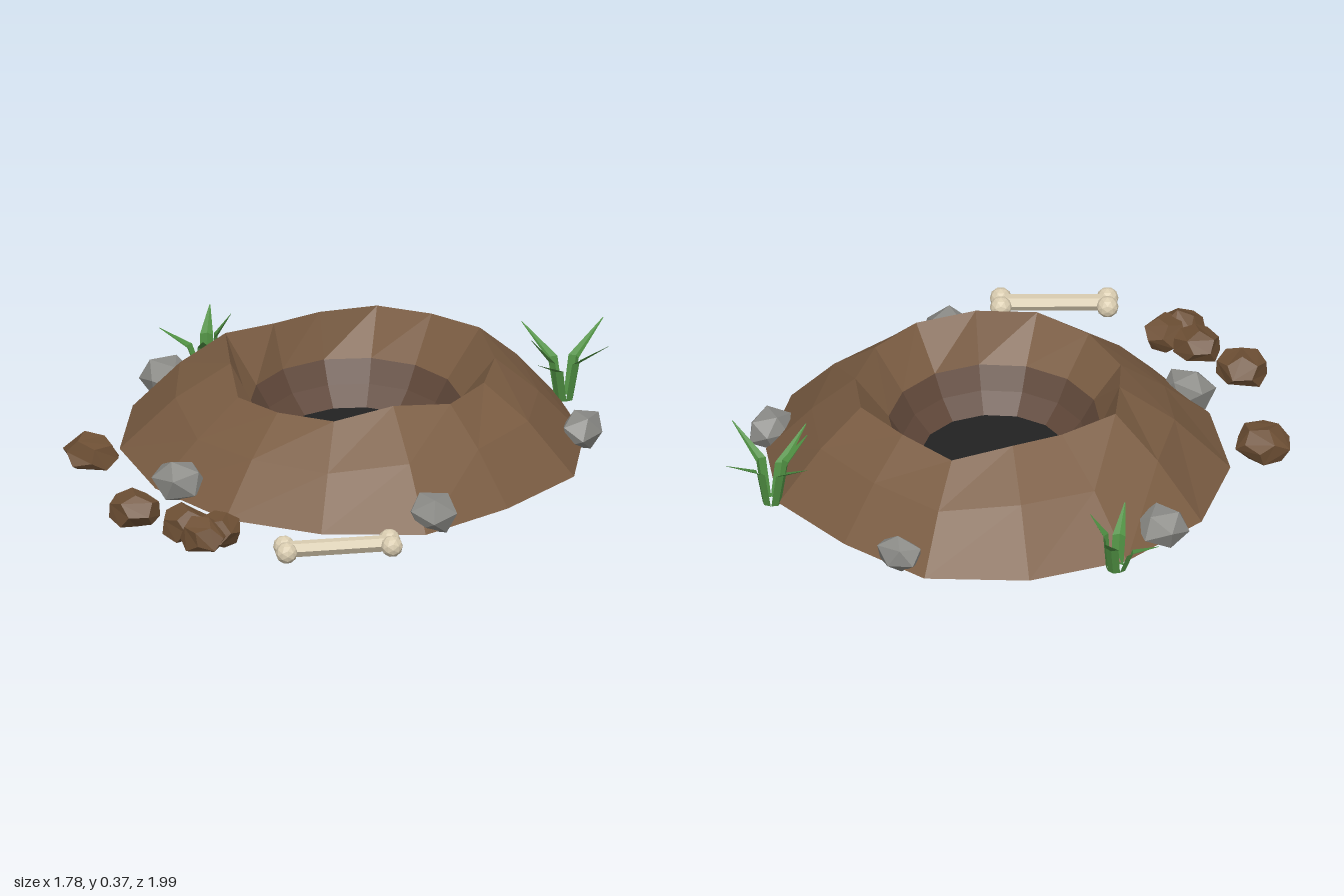
import * as THREE from 'three';

const CX = 0.035, CZ = -0.14, SIDES = 14;
const mat = (name, color, side = THREE.FrontSide) => {
  const m = new THREE.MeshStandardMaterial({ color, flatShading: true, side });
  m.name = name;
  return m;
};

// Small repeatable noise in -1..1
const noise = (a, b, c, s) => {
  const n = Math.sin(a * 127.1 + b * 311.7 + c * 74.7 + s * 53.3) * 43758.5453;
  return (n - Math.floor(n)) * 2 - 1;
};

// Surface through a list of rings; each ring is { r, y }, numbers or one value per side
function loft(rings) {
  const at = (v, k) => (Array.isArray(v) ? v[k % SIDES] : v);
  const pos = [], idx = [];
  rings.forEach(({ r, y }) => {
    for (let k = 0; k < SIDES; k++) {
      const a = (k / SIDES) * Math.PI * 2;
      pos.push(CX + Math.cos(a) * at(r, k), at(y, k), CZ + Math.sin(a) * at(r, k));
    }
  });
  for (let j = 0; j < rings.length - 1; j++) {
    for (let k = 0; k < SIDES; k++) {
      const a = j * SIDES + k, b = j * SIDES + (k + 1) % SIDES;
      idx.push(a, a + SIDES, b, b, a + SIDES, b + SIDES);
    }
  }
  const g = new THREE.BufferGeometry();
  g.setAttribute('position', new THREE.Float32BufferAttribute(pos, 3));
  g.setIndex(idx);
  const flat = g.toNonIndexed();
  flat.computeVertexNormals();
  return flat;
}

// Roughened lump with a flattened underside
function lump(base, sx, sy, sz, seed, floor) {
  const g = base.clone();
  g.rotateY(seed * 1.3).rotateX(seed * 0.7);
  const p = g.attributes.position;
  for (let i = 0; i < p.count; i++) {
    const q = [p.getX(i), p.getY(i), p.getZ(i)].map((v) => Math.round(v * 100) / 100 + 0);
    const f = 1 + 0.08 * noise(q[0], q[1], q[2], seed);
    p.setXYZ(i, q[0] * f * sx, Math.max(q[1] * f * sy, floor), q[2] * f * sz);
  }
  g.computeVertexNormals();
  return g;
}

// Folded, bent grass blade running outwards from a clump centre to its tip
function blade(cx, cz, [tx, ty, tz]) {
  const d = new THREE.Vector2(tx - cx, tz - cz), len = d.length();
  d.normalize();
  const pos = [], idx = [];
  // distance out, height, half width, fold depth
  const sections = [
    [0.025, 0.012, 0.022, 0.012],
    [Math.min(0.055, len * 0.35), ty * 0.62, 0.024, 0.014],
    [len, ty, 0.002, 0.001],
  ];
  sections.forEach(([o, y, w, f]) => {
    for (const s of [-1, 0, 1]) {
      const out = o + (s === 0 ? f : 0);
      pos.push(cx + d.x * out - d.y * w * s, y, cz + d.y * out + d.x * w * s);
    }
  });
  for (let j = 0; j < 2; j++) {
    for (let s = 0; s < 2; s++) {
      const a = j * 3 + s;
      idx.push(a, a + 3, a + 1, a + 1, a + 3, a + 4);
    }
  }
  const g = new THREE.BufferGeometry();
  g.setAttribute('position', new THREE.Float32BufferAttribute(pos, 3));
  g.setIndex(idx);
  const flat = g.toNonIndexed();
  flat.computeVertexNormals();
  return flat;
}

export function createModel() {
  const root = new THREE.Group();
  root.name = 'burrow';
  const soil = mat('soil', 0x7a5c42);
  const darkSoil = mat('dark soil', 0x5e4638, THREE.DoubleSide);
  const black = mat('hole black', 0x222222);
  const stone = mat('stone grey', 0x8a8a86);
  const clodMat = mat('clod brown', 0x6d4f34);
  const boneMat = mat('bone', 0xd9ccb0);
  const green = mat('grass green', 0x4f8f42, THREE.DoubleSide);

  const add = (name, geo, material, x = 0, y = 0, z = 0, parent = root) => {
    const m = new THREE.Mesh(geo, material);
    m.name = name;
    m.position.set(x, y, z);
    parent.add(m);
    return m;
  };

  // Mound with an uneven outline and rim
  const baseR = [0.85, 0.81, 0.865, 0.83, 0.835, 0.835, 0.855, 0.865, 0.85, 0.845, 0.86, 0.8, 0.84, 0.83];
  const rimR = [0.5, 0.505, 0.465, 0.52, 0.5, 0.49, 0.453, 0.505, 0.434, 0.44, 0.527, 0.49, 0.52, 0.506];
  const rimY = [0.335, 0.335, 0.36, 0.33, 0.32, 0.305, 0.345, 0.367, 0.345, 0.345, 0.325, 0.345, 0.355, 0.335];
  const midR = baseR.map((r, k) => 0.52 * r + 0.46 * rimR[k]);
  const midY = rimY.map((y, k) => y * 0.6 + 0.01 * noise(k, 1, 2, 3));
  add('mound', loft([
    { r: baseR, y: 0.02 }, { r: midR, y: midY }, { r: rimR, y: rimY }, { r: 0.385, y: 0.18 },
  ]), soil);
  add('moundUnderside', loft([{ r: 0.36, y: 0.02 }, { r: baseR, y: 0.02 }]), darkSoil);

  // Pit wall and the dark floor of the hole
  add('pitWall', loft([
    { r: 0.385, y: 0.18 }, { r: 0.335, y: 0.1 }, { r: 0.265, y: 0.03 }, { r: 0.36, y: 0.022 },
  ]), darkSoil);
  add('holeFloor', new THREE.CylinderGeometry(0.27, 0.245, 0.02, 32), black, CX, 0.025, CZ);

  // Stones round the foot: x, z, half sizes
  const ico = new THREE.IcosahedronGeometry(1, 0);
  [
    [-0.03, 0.065, -0.94, 0.095, 0.07, 0.063],
    [0.8, 0.07, -0.44, 0.08, 0.072, 0.098],
    [0.57, 0.075, 0.455, 0.097, 0.08, 0.09],
    [-0.385, 0.078, 0.535, 0.108, 0.082, 0.085],
    [-0.77, 0.075, -0.31, 0.106, 0.08, 0.1],
  ].forEach(([x, y, z, sx, sy, sz], i) =>
    add('stone' + (i + 1), lump(ico, sx, sy, sz, i + 1, -y), stone, x, y, z));

  // Loose clods of earth
  const dodeca = new THREE.DodecahedronGeometry(1, 0);
  [
    [-0.785, 0.385, 0.105, 0.093],
    [-0.46, 0.79, 0.102, 0.093],
    [-0.24, 0.845, 0.094, 0.08],
    [-0.105, 0.85, 0.082, 0.083],
    [-0.14, 0.92, 0.092, 0.073],
  ].forEach(([x, z, sx, sz], i) =>
    add('clod' + (i + 1), lump(dodeca, sx, 0.075, sz, i + 7, -0.05), clodMat, x, 0.058, z));

  // Bone: shaft with two knobs at each end
  const bone = new THREE.Group();
  bone.name = 'bone';
  bone.position.set(0.347, 0.06, 0.828);
  bone.rotation.y = Math.atan2(0.19, 0.325);
  root.add(bone);
  add('boneShaft', new THREE.CylinderGeometry(0.03, 0.03, 0.37, 6).rotateZ(Math.PI / 2), boneMat, 0, 0, 0, bone);
  const knob = new THREE.IcosahedronGeometry(0.04, 1);
  for (const sx of [-1, 1]) {
    for (const sz of [-1, 1]) add('boneKnob', knob, boneMat, sx * 0.193, 0, sz * 0.03, bone);
  }

  // Grass clumps: centre and blade tips
  [
    [0.59, -0.79, [[0.66, 0.255, -1], [0.785, 0.27, -0.74], [0.395, 0.25, -0.87], [0.575, 0.23, -0.57], [0.5, 0.27, -0.69]]],
    [-0.715, -0.56, [[-0.75, 0.2, -0.7], [-0.885, 0.15, -0.545], [-0.66, 0.19, -0.4], [-0.625, 0.23, -0.59]]],
  ].forEach(([x, z, tips], i) => {
    const clump = new THREE.Group();
    clump.name = 'grassClump' + (i + 1);
    root.add(clump);
    tips.forEach((t) => add('blade', blade(x, z, t), green, 0, 0, 0, clump));
  });

  return root;
}
